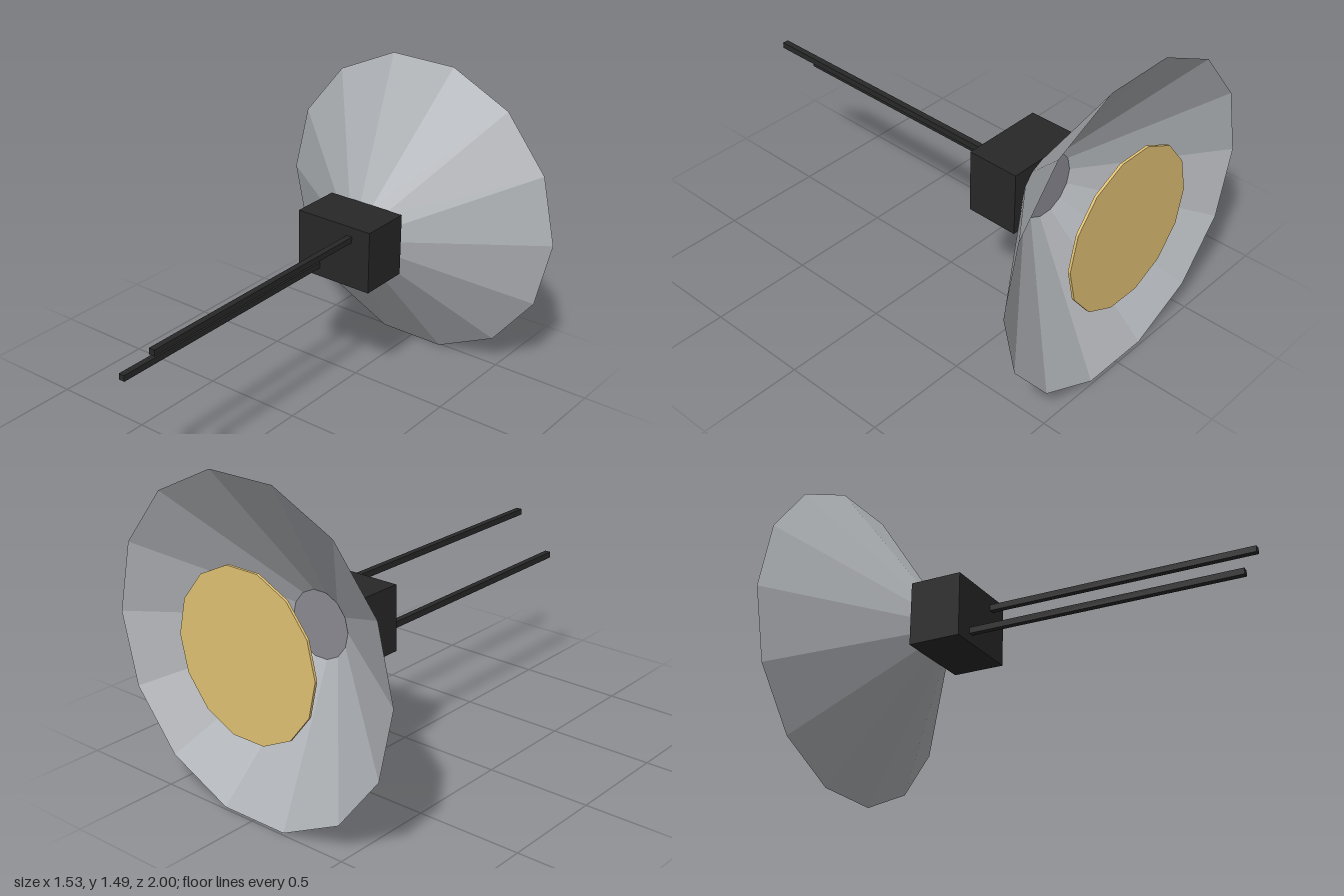
import * as THREE from 'three';

const SIDES = 14;
const CENTRE_Y = 0.746;

function material(name, color, side = THREE.FrontSide) {
  const m = new THREE.MeshStandardMaterial({ color, side, flatShading: true });
  m.name = name;
  return m;
}

export function createModel() {
  const group = new THREE.Group();
  const dishGrey = material('dish grey', 0xadb0b4, THREE.DoubleSide);
  const capGrey = material('mid grey', 0x8a8a92, THREE.DoubleSide);
  const gold = material('gold', 0xe1c174);
  const black = material('black', 0x282828);

  function add(name, geometry, mat, x, y, z) {
    const mesh = new THREE.Mesh(geometry, mat);
    mesh.name = name;
    mesh.position.set(x, y, z);
    group.add(mesh);
  }

  // Faceted cylinder running backwards, with corners on the x axis
  function ring(rBack, rFront, depth, open) {
    return new THREE.CylinderGeometry(rBack, rFront, depth, SIDES, 1, open, Math.PI / 2)
      .rotateX(-Math.PI / 2);
  }

  // Open reflector flaring towards the back
  add('reflector', ring(0.765, 0.15, 0.435, true), dishGrey, 0, CENTRE_Y, -0.7705);

  // Flat disc closing the throat of the reflector
  add('throatDisc', new THREE.CircleGeometry(0.155, SIDES).rotateY(Math.PI), capGrey,
    0, CENTRE_Y, -0.558);

  // Thin plate across the mouth
  add('frontPlate', ring(0.381, 0.381, 0.012, false), gold, 0, CENTRE_Y, -0.994);

  // Housing
  add('housing', new THREE.BoxGeometry(0.405, 0.305, 0.253), black, 0, CENTRE_Y + 0.002, -0.4285);

  // Two long prongs, set diagonally
  for (const s of [1, -1]) {
    add(s > 0 ? 'leftRod' : 'rightRod', new THREE.BoxGeometry(0.029, 0.029, 1.302),
      black, s * 0.09, CENTRE_Y + s * 0.093, 0.349);
  }
  return group;
}
